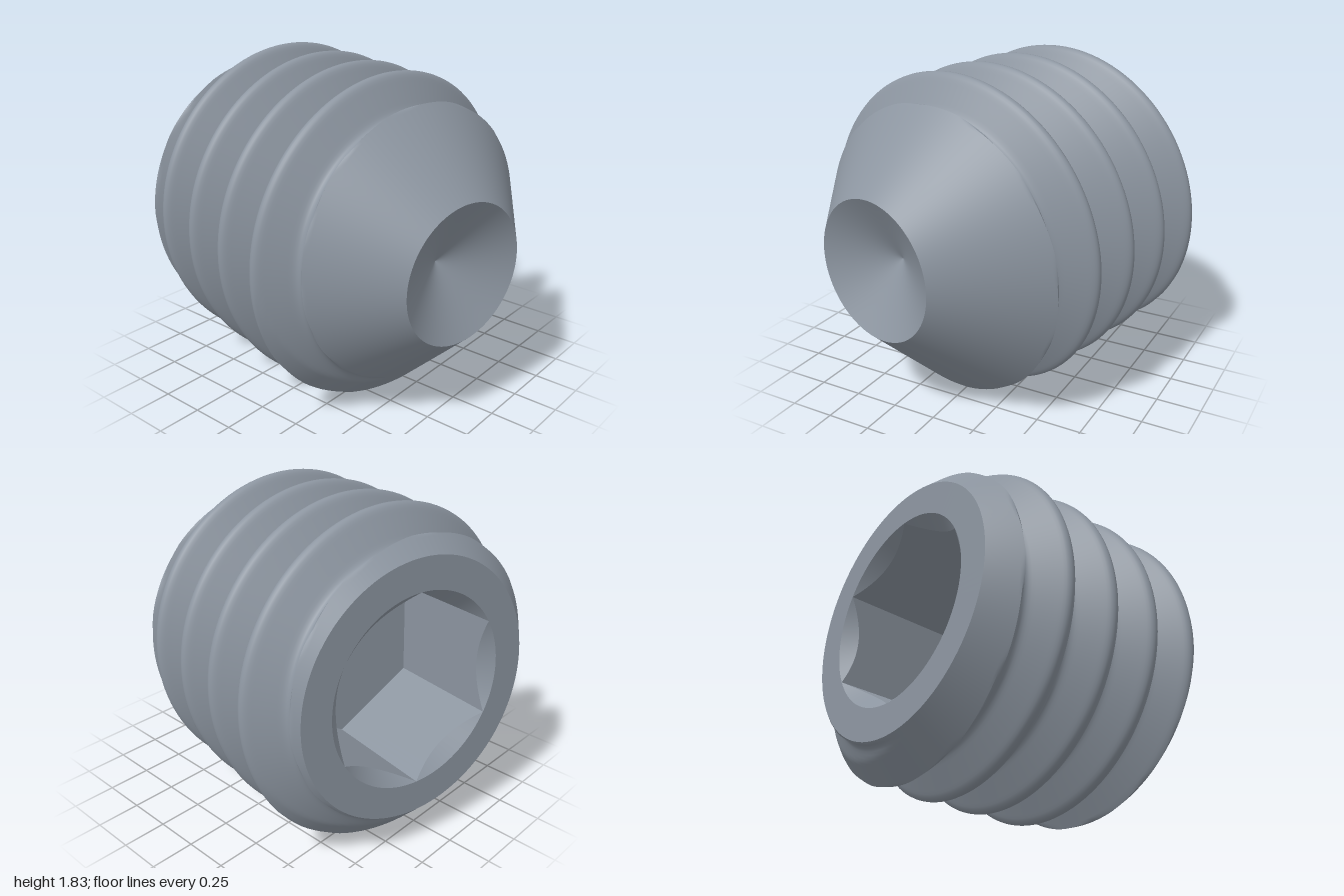
import * as THREE from 'three';
import { toCreasedNormals } from 'three/addons/utils/BufferGeometryUtils.js';

const LENGTH = 1.81, PITCH = 0.3, CREST = 0.9, ROOT = 0.715;
const FACE_R = 0.705, TIP_R = 0.38, MOUTH_R = 0.53, APOTHEM = 0.459;
const COLS = 120, STEPS = 32;

// Surface around the local x axis: at(row, angle) gives [distance along axis, radius]
function loft(rows, at, crease) {
  const pos = [], index = [];
  for (let i = 0; i < rows; i++) {
    for (let j = 0; j <= COLS; j++) {
      const a = (j / COLS) * Math.PI * 2;
      const [s, r] = at(i, a);
      pos.push(s, r * Math.cos(a), r * Math.sin(a));
    }
  }
  const same = (p, q) => [0, 1, 2].every((k) => Math.abs(pos[p * 3 + k] - pos[q * 3 + k]) < 1e-7);
  const face = (p, q, r) => {
    if (!same(p, q) && !same(q, r) && !same(p, r)) index.push(p, q, r);
  };
  for (let i = 0; i < rows - 1; i++) {
    for (let j = 0; j < COLS; j++) {
      const p = i * (COLS + 1) + j, q = p + COLS + 1;
      face(p, p + 1, q);
      face(p + 1, q + 1, q);
    }
  }
  const g = new THREE.BufferGeometry();
  g.setAttribute('position', new THREE.Float32BufferAttribute(pos, 3));
  g.setIndex(index);
  // enlarged while creasing so that close vertices stay distinct
  g.scale(100, 100, 100);
  const out = toCreasedNormals(g, crease);
  out.scale(0.01, 0.01, 0.01);
  return out;
}

// Trapezoid thread profile; u is the axial distance from a crest
function trapezoid(u) {
  const d = Math.abs(u - PITCH * Math.round(u / PITCH));
  const k = THREE.MathUtils.clamp((d - 0.02) / 0.107, 0, 1);
  return CREST + (ROOT - CREST) * k;
}

// Rounded corners by averaging over a short window
function threadRadius(u) {
  let sum = 0;
  for (let k = -4; k <= 4; k++) sum += trapezoid(u + k * 0.004);
  return sum / 9;
}

// Right-handed thread cut by the end chamfer and the tip cone
function threadAt(i, a) {
  const base = (i / STEPS - 1) * PITCH;
  const s = THREE.MathUtils.clamp(base + (PITCH * a) / (Math.PI * 2), 0, LENGTH);
  const u = s - (PITCH * a) / (Math.PI * 2) - 0.3;
  return [s, Math.min(threadRadius(u), FACE_R + s, TIP_R + LENGTH - s)];
}

// Hexagon radius, with a corner at angle zero
function hexRadius(a) {
  const sector = Math.PI / 3;
  const m = a - sector * Math.floor(a / sector + 1e-9) - sector / 2;
  return APOTHEM / Math.cos(m);
}

// Socket: floor centre, floor edge, lower rim of the countersink, mouth
function socketAt(i, a) {
  const h = Math.min(hexRadius(a), MOUTH_R);
  return [[0.67, 0], [0.67, h], [MOUTH_R - h, h], [0, MOUTH_R]][i];
}

export function createModel() {
  const model = new THREE.Group();
  model.name = 'setScrew';
  const steel = new THREE.MeshStandardMaterial({ color: 0x8c95a0 });
  steel.name = 'steel grey';

  const screw = new THREE.Group();
  screw.name = 'screw';
  const add = (name, geometry) => {
    const mesh = new THREE.Mesh(geometry, steel);
    mesh.name = name;
    screw.add(mesh);
  };

  const rows = Math.ceil((LENGTH / PITCH + 1) * STEPS) + 1;
  add('threadedBody', loft(rows, threadAt, 0.6));
  add('endFace', loft(2, (i) => [0, i ? FACE_R : MOUTH_R], 0.5));
  add('hexSocket', loft(4, socketAt, 0.4));
  add('cupPoint', loft(2, (i) => (i ? [LENGTH - 0.21, 0] : [LENGTH, TIP_R]), 0.5));

  // Tilted resting pose
  const axis = new THREE.Vector3(0.977, -0.035, 0.211).normalize();
  screw.quaternion.setFromUnitVectors(new THREE.Vector3(1, 0, 0), axis);
  screw.position.set(-0.85, 0.943, -0.16);
  model.add(screw);
  return model;
}
